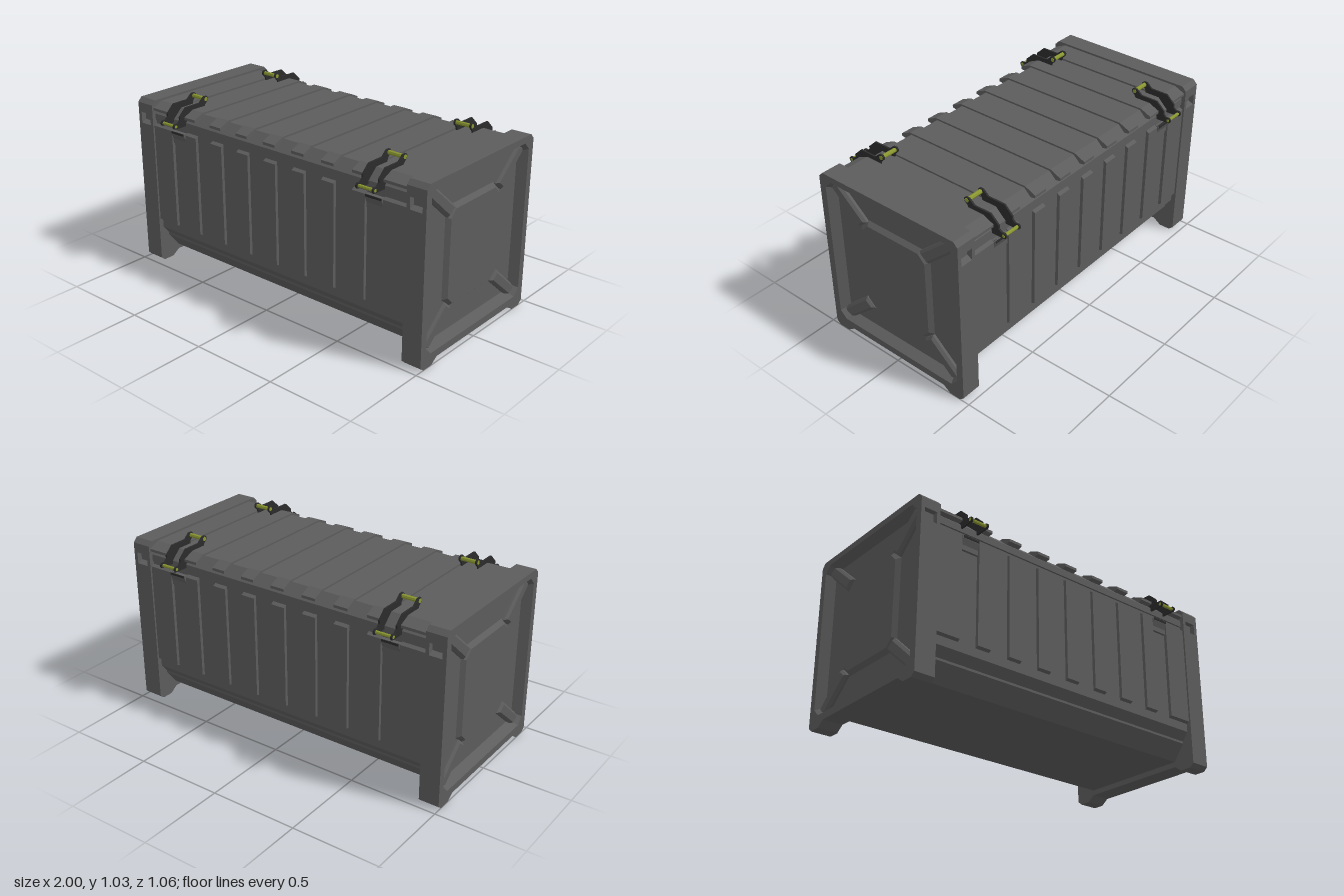
import * as THREE from 'three';

const paint = (color) => new THREE.MeshStandardMaterial({ color, flatShading: true });

// Shape from [z, y] points
const outline = (pts) => new THREE.Shape(pts.map(([z, y]) => new THREE.Vector2(z, y)));

// Mirrors a half section (z > 0, listed bottom to top) into a closed one
const symmetric = (half) => [...half, ...half.map(([z, y]) => [-z, y]).reverse()];

// Rectangle with cut corners, centred on z = 0
const cutRect = (hz, hy, cy, c) => symmetric([
  [hz - c, cy - hy], [hz, cy - hy + c], [hz, cy + hy - c], [hz - c, cy + hy],
]);

export function createModel() {
  const model = new THREE.Group();
  const shell = paint(0x5c5c5c);
  const dark = paint(0x2c2c2c);
  const olive = paint(0x8a9630);

  // Extrudes a z-y section from x0 to x1
  function slab(parent, name, pts, x0, x1, mat = shell, hole = null, bevel = 0) {
    const shape = outline(pts);
    if (hole) shape.holes.push(new THREE.Path(hole.map(([z, y]) => new THREE.Vector2(z, y))));
    const geo = new THREE.ExtrudeGeometry(shape, {
      depth: x1 - x0 - 2 * bevel, bevelEnabled: bevel > 0, bevelSegments: 1,
      bevelThickness: bevel, bevelSize: bevel, bevelOffset: -bevel,
    });
    geo.rotateY(-Math.PI / 2).translate(x1 - bevel, 0, 0);
    const mesh = new THREE.Mesh(geo, mat);
    mesh.name = name;
    parent.add(mesh);
    return mesh;
  }

  // Long tub with a stepped underside, and the chamfered lid
  slab(model, 'tub', symmetric([
    [0.33, 0.065], [0.36, 0.105], [0.4, 0.155], [0.4, 0.168], [0.437, 0.215], [0.437, 0.872],
  ]), -0.89, 0.89);
  slab(model, 'lid', symmetric([
    [0.443, 0.875], [0.443, 0.914], [0.385, 0.968],
  ]), -0.89, 0.89);

  // Ribs: narrow ones along the middle, wide ones beside the end caps
  const ribs = [[-0.888, -0.74], [0.74, 0.888]];
  for (const x of [-0.59, -0.393, -0.197, 0, 0.197, 0.393, 0.59]) ribs.push([x - 0.041, x + 0.041]);
  for (const [x0, x1] of ribs) {
    slab(model, 'lidRib', symmetric([
      [0.43, 0.93], [0.455, 0.935], [0.455, 0.95], [0.392, 0.978],
    ]), x0, x1);
    for (const s of [-1, 1]) {
      slab(model, 'sideRib', [
        [0.43, 0.26], [0.455, 0.272], [0.455, 0.845], [0.43, 0.86],
      ].map(([z, y]) => [s * z, y]), x0, x1);
    }
  }

  // End cap with feet, side pockets and a recessed outer face
  function endCap() {
    const cap = new THREE.Group();
    cap.name = 'endCap';
    const feet = [[0.33, 0.035], [0.375, 0.003], [0.44, 0.003], [0.465, 0.025]];
    const top = [[0.465, 0.965], [0.44, 0.99]];
    const full = symmetric([...feet, ...top]);
    const pocketed = symmetric([
      ...feet, [0.465, 0.845], [0.435, 0.86], [0.435, 0.91], [0.465, 0.91], ...top,
    ]);
    const mouth = cutRect(0.425, 0.44, 0.515, 0.04);
    const floor = cutRect(0.395, 0.41, 0.515, 0.03);
    slab(cap, 'innerWall', full, 0.885, 0.905);
    slab(cap, 'pocketWall', pocketed, 0.905, 0.95);
    slab(cap, 'pocketFrame', pocketed, 0.95, 0.978, shell, mouth);
    slab(cap, 'outerFrame', full, 0.978, 1, shell, mouth);

    // Sloped wall of the recess
    const pos = [];
    const index = [];
    mouth.forEach(([z, y], i) => {
      pos.push(1, y, z, 0.95, floor[i][1], floor[i][0]);
      const a = 2 * i;
      const b = 2 * ((i + 1) % mouth.length);
      index.push(a, a + 1, b, b, a + 1, b + 1);
    });
    const geo = new THREE.BufferGeometry();
    geo.setAttribute('position', new THREE.Float32BufferAttribute(pos, 3));
    geo.setIndex(index);
    geo.computeVertexNormals();
    const wall = new THREE.Mesh(geo, shell);
    wall.name = 'recessWall';
    cap.add(wall);

    // Raised centre panel and diagonal braces
    slab(cap, 'centrePanel', cutRect(0.236, 0.28, 0.515, 0.055), 0.91, 0.972, shell, null, 0.022);
    for (const sz of [-1, 1]) for (const sy of [-1, 1]) {
      slab(cap, 'diagonalBrace', [
        [0.42, 0.39], [0.405, 0.42], [0.365, 0.435], [0.18, 0.275], [0.236, 0.227],
      ].map(([z, y]) => [sz * z, 0.515 + sy * y]), 0.92, 0.978, shell, null, 0.014);
    }
    return cap;
  }
  const leftCap = endCap();
  const rightCap = endCap();
  rightCap.rotation.y = Math.PI;
  model.add(leftCap, rightCap);

  // Latch: two thin bent side plates, two pins and a catch below
  function latch(x) {
    const g = new THREE.Group();
    g.name = 'latch';
    const arm = [
      [0.28, 1.03], [0.272, 1.02], [0.274, 1.006], [0.295, 0.985], [0.3, 0.96], [0.375, 0.96],
      [0.43, 0.91], [0.43, 0.895], [0.525, 0.897], [0.532, 0.905], [0.532, 0.917], [0.523, 0.926],
      [0.5, 0.926], [0.485, 0.94], [0.485, 0.957], [0.437, 1.002], [0.335, 1.002], [0.302, 1.03],
    ];
    for (const s of [-1, 1]) slab(g, 'latchArm', arm, x + s * 0.049 - 0.005, x + s * 0.049 + 0.005, dark);
    for (const [z, y, r] of [[0.289, 1.014, 0.012], [0.517, 0.911, 0.009]]) {
      const pin = new THREE.Mesh(new THREE.CylinderGeometry(r, r, 0.112, 8), olive);
      pin.rotation.z = Math.PI / 2;
      pin.position.set(x, y, z);
      pin.name = 'latchPin';
      g.add(pin);
    }
    slab(g, 'catchPlate', [
      [0.43, 0.77], [0.447, 0.775], [0.447, 0.803], [0.46, 0.835], [0.46, 0.85], [0.43, 0.85],
    ], x - 0.052, x + 0.052);
    slab(g, 'catchLip', [
      [0.45, 0.838], [0.464, 0.838], [0.464, 0.85], [0.45, 0.85],
    ], x - 0.048, x + 0.048, dark);
    return g;
  }
  for (const turn of [0, Math.PI]) {
    const side = new THREE.Group();
    side.name = turn ? 'backLatches' : 'frontLatches';
    side.add(latch(-0.687), latch(0.687));
    side.rotation.y = turn;
    model.add(side);
  }
  return model;
}
